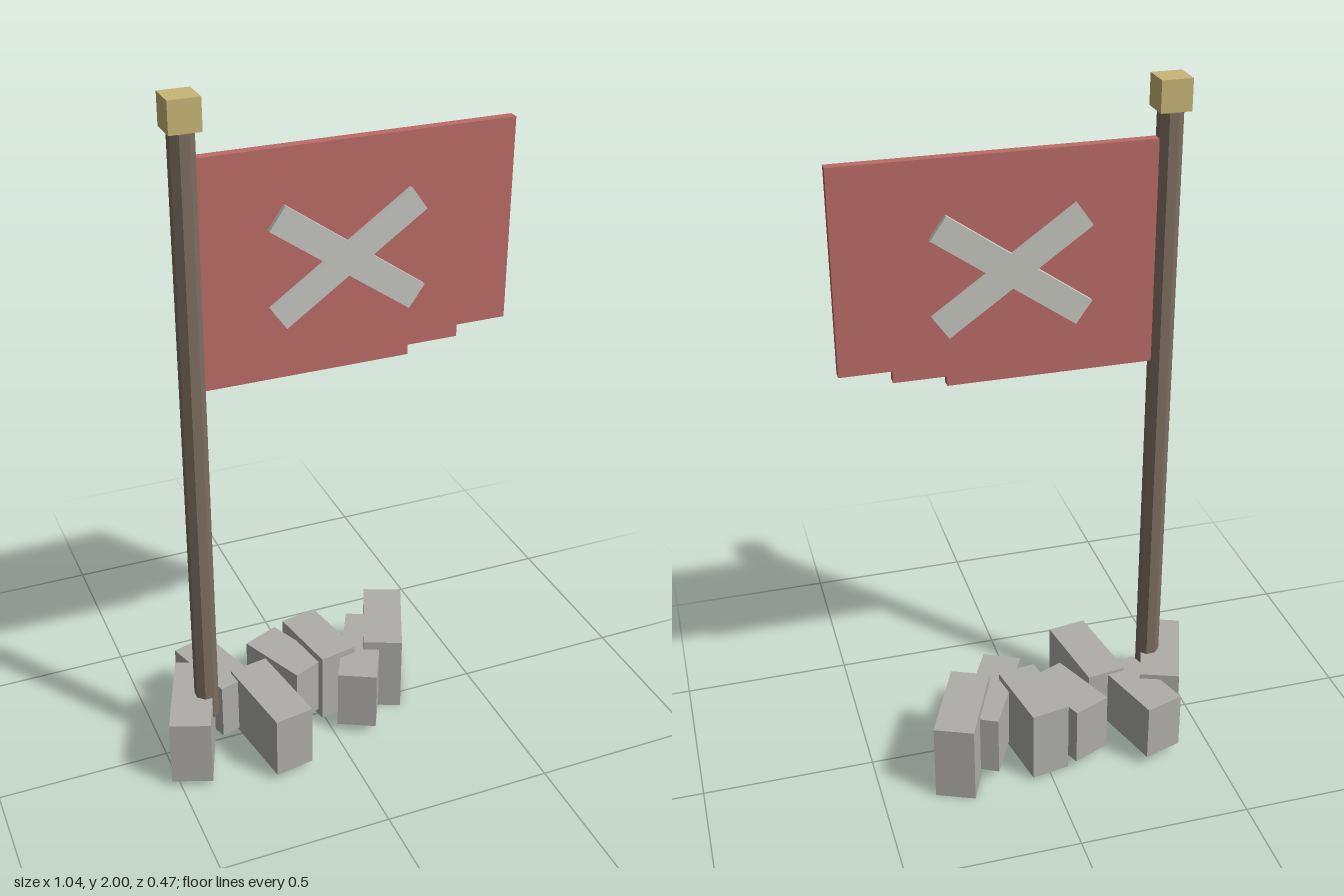
import * as THREE from 'three';

const mat = (name, color) => {
  const m = new THREE.MeshStandardMaterial({ color });
  m.name = name;
  return m;
};

export function createModel() {
  const stone = mat('stone grey', 0xaeada9);
  const wood = mat('weathered wood', 0x7d6e60);
  const cloth = mat('faded red', 0xbb6b66);
  const paint = mat('pale grey', 0xc6c6c0);
  const brass = mat('dull gold', 0xc8b677);

  const model = new THREE.Group();
  model.name = 'flagOnRubble';
  const add = (name, geometry, material, x, y, z, parent = model) => {
    const mesh = new THREE.Mesh(geometry, material);
    mesh.name = name;
    mesh.position.set(x, y, z);
    parent.add(mesh);
    return mesh;
  };

  const poleX = -0.378, poleZ = 0.036;

  // Eight-sided pole with a flat side to the front, and its cube cap
  const poleGeo = new THREE.CylinderGeometry(0.035, 0.035, 1.76, 8).rotateY(Math.PI / 8).toNonIndexed();
  poleGeo.computeVertexNormals();
  add('pole', poleGeo, wood, poleX, 1.03, poleZ);
  add('finial', new THREE.BoxGeometry(0.085, 0.085, 0.085), brass, poleX, 1.9575, poleZ);

  // Flag with a stepped, torn lower corner
  const outline = [
    [-0.36, 1.213], [0.23, 1.213], [0.23, 1.241], [0.376, 1.241],
    [0.376, 1.275], [0.52, 1.275], [0.52, 1.842], [-0.36, 1.842],
  ].map(([x, y]) => new THREE.Vector2(x, y));
  const flagGeo = new THREE.ExtrudeGeometry(new THREE.Shape(outline), { depth: 0.028, bevelEnabled: false });
  add('flag', flagGeo, cloth, 0, 0, poleZ - 0.014);

  // Crossed bars passing through the flag
  const cross = new THREE.Group();
  cross.name = 'crossEmblem';
  model.add(cross);
  for (const side of [1, -1]) {
    const bar = add('crossBar', new THREE.BoxGeometry(0.478, 0.077, 0.058), paint, 0.05, 1.526, poleZ - 0.001, cross);
    bar.rotation.z = side * 0.612;
  }

  // Rubble blocks: x, z, width, length, bottom, top, turn
  const rubble = new THREE.Group();
  rubble.name = 'rubble';
  model.add(rubble);
  const blocks = [
    [-0.418, 0.027, 0.118, 0.29, 0.018, 0.222, -0.364],
    [-0.307, -0.108, 0.118, 0.24, 0.032, 0.207, 0.305],
    [-0.198, 0.09, 0.118, 0.274, 0.022, 0.216, 0.16],
    [-0.09, -0.074, 0.118, 0.22, 0.03, 0.21, 0.405],
    [0.022, -0.087, 0.115, 0.23, 0.01, 0.233, 0.186],
    [0.133, -0.012, 0.115, 0.31, 0.028, 0.213, -0.476],
    [0.239, -0.09, 0.117, 0.277, 0, 0.24, -0.413],
  ];
  for (const [x, z, w, l, y0, y1, turn] of blocks) {
    const block = add('rubbleBlock', new THREE.BoxGeometry(w, y1 - y0, l), stone, x, (y0 + y1) / 2, z, rubble);
    block.rotation.y = turn;
  }

  return model;
}
